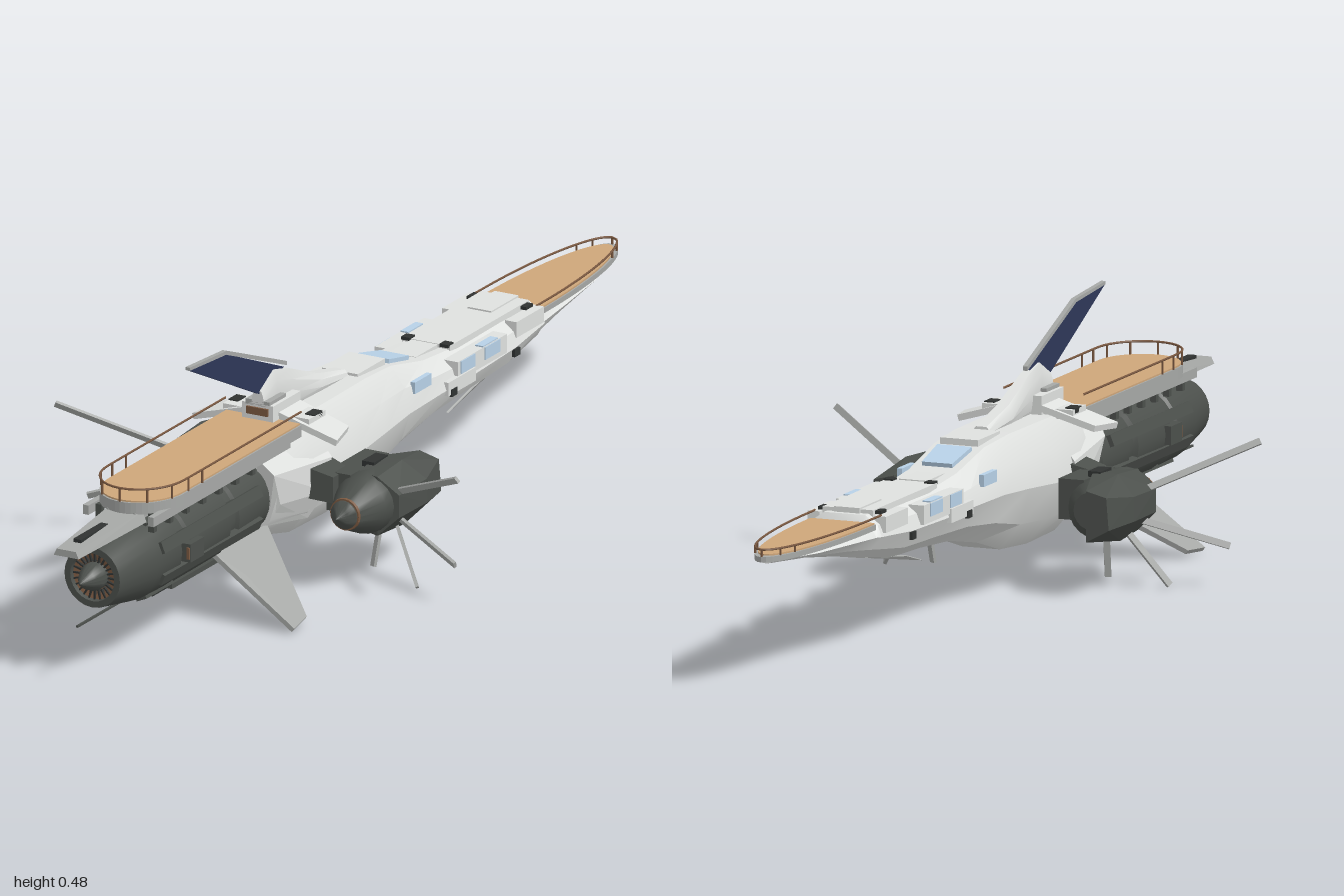
import * as THREE from 'three';
import { toCreasedNormals } from 'three/addons/utils/BufferGeometryUtils.js';
import { ConvexGeometry } from 'three/addons/geometries/ConvexGeometry.js';

const mat = (name, color) => new THREE.MeshStandardMaterial({ name, color });
const hullGrey = mat('hull grey', 0xdfe1df), panelGrey = mat('panel grey', 0xa6a8a6);
const darkGrey = mat('engine grey', 0x4c504c), blackGrey = mat('recess grey', 0x303332);
const wood = mat('deck tan', 0xcea67a), copper = mat('copper', 0x7c5a42);
const navy = mat('navy', 0x2e3758), glass = mat('window blue', 0xb8d2e8);

export function createModel() {
  const root = new THREE.Group();
  const V = (x, y, z) => new THREE.Vector3(x, y, z);
  const add = (name, geo, material, parent = root) => {
    const m = new THREE.Mesh(geo, material);
    m.name = name;
    parent.add(m);
    return m;
  };
  const box = (name, material, x, y, z, w, h, d, parent) => {
    const m = add(name, new THREE.BoxGeometry(w, h, d), material, parent);
    m.position.set(x, y, z);
    return m;
  };
  // convex solid from corner points
  const solid = (name, material, pts, s = 1) =>
    add(name, new ConvexGeometry(pts.map(([x, y, z]) => V(x * s, y, z))), material);
  // flat plate of a given thickness through planar points
  const plate = (name, material, pts, t, s = 1) => {
    const p = pts.map(([x, y, z]) => V(x * s, y, z));
    const n = p[1].clone().sub(p[0]).cross(p[2].clone().sub(p[0])).setLength(t / 2);
    return add(name, new ConvexGeometry(p.flatMap(q => [q.clone().add(n), q.clone().sub(n)])), material);
  };
  // profile of [radius, z] turned around the z axis
  const turned = (name, material, profile, x, y, segs = 20) => {
    const g = new THREE.LatheGeometry(profile.map(([r, z]) => new THREE.Vector2(r, z)), segs);
    const m = add(name, toCreasedNormals(g.rotateX(Math.PI / 2), 0.5), material);
    m.position.set(x, y, 0);
    return m;
  };
  // closed body from cross-sections [z, half width, top, middle, bottom]
  const loft = (name, material, sections) => {
    const pos = [], idx = [];
    for (const [z, w, t, m, b] of sections) {
      const half = [[0.38, b], [0.8, b + (m - b) * 0.42], [1, m], [0.88, m + (t - m) * 0.55], [0.55, t]];
      half.forEach(([k, y]) => pos.push(k * w, y, z));
      half.reverse().forEach(([k, y]) => pos.push(-k * w, y, z));
    }
    const n = 10, last = (sections.length - 1) * n;
    for (let i = 0; i < last; i += n) for (let j = 0; j < n; j++) {
      const a = i + j, c = i + (j + 1) % n;
      idx.push(a, c, a + n, c, c + n, a + n);
    }
    for (let j = 1; j < n - 1; j++) idx.push(0, j + 1, j, last, last + j, last + j + 1);
    const g = new THREE.BufferGeometry();
    g.setAttribute('position', new THREE.Float32BufferAttribute(pos, 3));
    g.setIndex(idx);
    return add(name, toCreasedNormals(g, 0.45), material);
  };

  // main hull
  loft('hull', hullGrey, [
    [-0.98, 0.012, 0.238, 0.235, 0.231], [-0.85, 0.05, 0.238, 0.231, 0.22],
    [-0.72, 0.062, 0.24, 0.226, 0.2], [-0.63, 0.068, 0.244, 0.222, 0.182],
    [-0.62, 0.074, 0.26, 0.222, 0.18], [-0.5, 0.082, 0.26, 0.213, 0.158],
    [-0.35, 0.085, 0.257, 0.21, 0.152], [-0.22, 0.086, 0.268, 0.21, 0.142],
    [-0.1, 0.09, 0.295, 0.21, 0.118], [0, 0.097, 0.302, 0.205, 0.088],
    [0.12, 0.1, 0.302, 0.195, 0.078], [0.25, 0.096, 0.3, 0.19, 0.08], [0.36, 0.075, 0.28, 0.188, 0.105]]);

  // raised dorsal panels and canopy
  box('dorsalPanel', hullGrey, 0, 0.258, -0.46, 0.1, 0.018, 0.29);
  box('dorsalRidge', hullGrey, 0, 0.262, -0.56, 0.05, 0.016, 0.1);
  box('dorsalHatch', hullGrey, 0, 0.262, -0.27, 0.055, 0.012, 0.08);
  plate('canopy', glass, [[-0.03, 0.2765, -0.2], [0.03, 0.2765, -0.2], [0.034, 0.2945, -0.12], [-0.034, 0.2945, -0.12]], 0.008);
  box('canopyRoof', hullGrey, 0, 0.298, -0.05, 0.075, 0.018, 0.1);
  loft('dorsalSpine', hullGrey, [
    [0.0, 0.018, 0.312, 0.3, 0.29], [0.1, 0.02, 0.335, 0.31, 0.29],
    [0.2, 0.016, 0.375, 0.33, 0.29], [0.25, 0.013, 0.387, 0.345, 0.3], [0.3, 0.013, 0.36, 0.335, 0.3]]);

  // tail fin with a thin light edge in two straight runs
  plate('tailFin', navy, [[0, 0.478, 0.555], [0, 0.468, 0.42], [0, 0.38, 0.21], [0, 0.355, 0.3]], 0.007);
  plate('finTopEdge', panelGrey, [[0, 0.484, 0.556], [0, 0.475, 0.42], [0, 0.468, 0.42], [0, 0.478, 0.556]], 0.009);
  plate('finFrontEdge', panelGrey, [[0, 0.475, 0.42], [0, 0.388, 0.2], [0, 0.38, 0.2], [0, 0.467, 0.42]], 0.009);

  // decks: tan floor, grey rim, rail and posts
  const deck = (name, z0, zs, zEnd, a, y, thick, railY, postStart) => {
    const g = new THREE.Group();
    g.name = name;
    root.add(g);
    const outline = k => {
      const pts = [[a * k, z0]];
      for (let i = 0; i <= 24; i++) {
        const t = Math.PI * i / 24;
        pts.push([a * k * Math.cos(t), zs + (zEnd - zs) * k * Math.sin(t)]);
      }
      pts.push([-a * k, z0]);
      return pts;
    };
    const slab = (part, material, k, top, depth) => {
      const shape = new THREE.Shape(outline(k).map(([x, z]) => new THREE.Vector2(x, z)));
      const geo = new THREE.ExtrudeGeometry(shape, { depth, bevelEnabled: false }).rotateX(Math.PI / 2);
      add(part, geo, material, g).position.y = top;
    };
    slab('deckRim', panelGrey, 1, y, thick);
    slab('deckFloor', wood, 0.96, y + 0.003, 0.004);
    const pts = outline(0.99).map(([x, z]) => V(x, railY, z));
    const curve = new THREE.CatmullRomCurve3(pts, false, 'centripetal');
    add('rail', new THREE.TubeGeometry(curve, 70, 0.0022, 5), copper, g);
    for (let i = 0; i <= 22; i++) {
      const p = curve.getPointAt(i / 22);
      if (Math.abs(p.z) > postStart) box('railPost', copper, p.x, (railY + y) / 2, p.z, 0.003, railY - y, 0.003, g);
    }
  };
  deck('foreDeck', 0.28, 0.71, 0.805, 0.08, 0.302, 0.022, 0.328, 0.6);
  deck('aftDeck', -0.63, -0.63, -1, 0.066, 0.246, 0.01, 0.259, 0.9);

  // deck support beams, boom and bridge block
  solid('boom', panelGrey, [[-0.026, 0.255, 1], [0.026, 0.255, 1], [-0.02, 0.268, 1], [0.02, 0.268, 1],
    [-0.042, 0.262, 0.78], [0.042, 0.262, 0.78], [-0.034, 0.282, 0.78], [0.034, 0.282, 0.78]]);
  box('boomSlot', blackGrey, 0, 0.271, 0.9, 0.016, 0.012, 0.12);
  box('deckKeel', panelGrey, 0, 0.268, 0.56, 0.06, 0.03, 0.48);
  box('bridgeBlock', hullGrey, 0, 0.313, 0.25, 0.065, 0.045, 0.1);
  box('bridgeFace', panelGrey, 0, 0.337, 0.27, 0.05, 0.01, 0.06);
  box('bridgeRecess', copper, 0, 0.322, 0.302, 0.045, 0.014, 0.004);

  // main engine
  const ey = 0.187;
  turned('mainEngine', darkGrey, [[0, 0.34], [0.045, 0.34], [0.055, 0.37], [0.074, 0.385], [0.077, 0.5], [0.071, 0.505],
    [0.071, 0.53], [0.079, 0.535], [0.08, 0.68], [0.074, 0.685], [0.074, 0.71], [0.079, 0.715], [0.077, 0.8],
    [0.058, 0.905], [0.046, 0.905], [0.044, 0.88], [0, 0.88]], 0, ey, 24);
  turned('engineRing', copper, [[0.046, 0.884], [0.045, 0.895], [0.026, 0.89], [0.024, 0.884]], 0, ey, 24);
  turned('engineHub', darkGrey, [[0.026, 0.88], [0.026, 0.905], [0.018, 0.925], [0.006, 0.945], [0, 0.95]], 0, ey);
  for (let i = 0; i < 24; i++) {
    const a = i * Math.PI / 12;
    box('engineVane', blackGrey, 0.036 * Math.cos(a), ey + 0.036 * Math.sin(a), 0.893, 0.018, 0.003, 0.008).rotation.z = a;
  }
  for (let i = 0; i < 8; i++) {
    const a = (i + 0.5) * Math.PI / 4, r = 0.076;
    box('engineRib', darkGrey, r * Math.cos(a), ey + r * Math.sin(a), 0.6, 0.014, 0.022, 0.36).rotation.z = a;
  }
  box('engineBelly', darkGrey, 0, 0.113, 0.52, 0.065, 0.03, 0.3);
  box('bellyDuct', blackGrey, 0, 0.105, 0.66, 0.03, 0.024, 0.1);
  box('bellyProbe', darkGrey, 0, 0.109, 0.86, 0.004, 0.004, 0.2);

  // paired parts
  for (const s of [1, -1]) {
    const b = (name, m, x, y, z, w, h, d) => box(name, m, x * s, y, z, w, h, d);
    b('engineLug', darkGrey, 0.08, ey, 0.68, 0.022, 0.035, 0.05);
    b('lugCap', copper, 0.087, ey, 0.706, 0.006, 0.022, 0.004);
    b('deckGirder', panelGrey, 0.068, 0.276, 0.56, 0.012, 0.018, 0.5);
    for (let z = 0.36; z < 0.8; z += 0.06) b('deckStrut', darkGrey, 0.055, 0.264, z, 0.012, 0.035, 0.012);
    solid('engineShoulder', hullGrey, [[0.05, 0.28, 0.2], [0.098, 0.22, 0.2], [0.098, 0.16, 0.22], [0.07, 0.11, 0.24],
      [0.05, 0.275, 0.4], [0.08, 0.235, 0.38], [0.076, 0.17, 0.35], [0.05, 0.125, 0.35]], s);
    // bridge winglets
    plate('bridgeWinglet', hullGrey, [[0.03, 0.313, 0.2], [0.03, 0.313, 0.28], [0.15, 0.278, 0.275], [0.135, 0.282, 0.205]], 0.012, s);
    b('bridgeArm', hullGrey, 0.06, 0.303, 0.24, 0.06, 0.018, 0.06);
    b('armRecess', blackGrey, 0.08, 0.309, 0.235, 0.02, 0.01, 0.03);
    // ventral fins
    plate('ventralFin', panelGrey, [[0.045, 0.125, 0.35], [0.2, 0.012, 0.475], [0.208, 0.008, 0.535], [0.1, 0.087, 0.52], [0.045, 0.125, 0.54]], 0.009, s);
    // hull side panels, windows and vents
    b('sideBlister', hullGrey, 0.066, 0.243, -0.56, 0.024, 0.03, 0.1);
    b('sideBlister', hullGrey, 0.072, 0.235, -0.37, 0.03, 0.036, 0.18);
    b('sideFairing', hullGrey, 0.082, 0.213, -0.29, 0.016, 0.026, 0.1);
    b('sideWindow', glass, 0.087, 0.24, -0.405, 0.004, 0.024, 0.055);
    b('sideWindow', glass, 0.087, 0.24, -0.315, 0.004, 0.024, 0.05);
    b('topWindow', glass, 0.078, 0.2535, -0.4, 0.016, 0.004, 0.055);
    b('cabinWindow', glass, 0.081, 0.25, -0.155, 0.01, 0.022, 0.06);
    b('sideVent', blackGrey, 0.089, 0.203, -0.26, 0.006, 0.014, 0.02);
    b('sideVent', blackGrey, 0.083, 0.205, -0.5, 0.006, 0.014, 0.02);
    b('dorsalVent', blackGrey, 0.04, 0.267, -0.32, 0.018, 0.006, 0.02);
    b('dorsalVent', blackGrey, 0.055, 0.262, -0.585, 0.014, 0.006, 0.025);
    plate('noseStrake', panelGrey, [[0.03, 0.128, -0.34], [0.034, 0.15, -0.42], [0.03, 0.178, -0.6]], 0.004, s);

    // side pod with outer shell
    const px = 0.183, py = 0.155;
    turned('sidePod', darkGrey, [[0, 0.08], [0.035, 0.08], [0.054, 0.1], [0.058, 0.22], [0.054, 0.245], [0.03, 0.3], [0, 0.3]], px * s, py, 20);
    turned('podRing', copper, [[0.031, 0.298], [0.03, 0.303], [0.026, 0.303]], px * s, py);
    turned('podCone', darkGrey, [[0.027, 0.296], [0.027, 0.306], [0.016, 0.318], [0.004, 0.328], [0, 0.335]], px * s, py);
    solid('podShell', darkGrey, [[0.19, 0.2, 0.04], [0.23, 0.19, 0.04], [0.235, 0.13, 0.04], [0.19, 0.105, 0.04],
      [0.16, 0.215, 0.14], [0.21, 0.216, 0.14], [0.25, 0.18, 0.12], [0.252, 0.135, 0.12], [0.215, 0.093, 0.14], [0.16, 0.095, 0.14],
      [0.165, 0.21, 0.22], [0.21, 0.21, 0.23], [0.25, 0.178, 0.22], [0.25, 0.135, 0.22], [0.21, 0.097, 0.23], [0.165, 0.1, 0.22]], s);
    b('podInnerBlock', darkGrey, 0.135, 0.17, 0.17, 0.05, 0.075, 0.14);
    b('podTopVent', blackGrey, 0.165, 0.212, 0.16, 0.025, 0.012, 0.05);
    // pylon from hull to pod
    solid('pylon', darkGrey, [[0.08, 0.22, 0.19], [0.08, 0.22, 0.27], [0.135, 0.205, 0.2], [0.135, 0.205, 0.26],
      [0.08, 0.16, 0.19], [0.08, 0.16, 0.27], [0.135, 0.155, 0.2], [0.135, 0.155, 0.26]], s);
    // pod blades
    const blades = [[[0.235, 0.178, 0.2], [0.42, 0.264, 0.305]], [[0.23, 0.125, 0.19], [0.384, 0.077, 0.25]],
      [[0.215, 0.105, 0.17], [0.282, 0.004, 0.21]], [[0.178, 0.105, 0.16], [0.173, 0.017, 0.18]]];
    for (const [p, q] of blades) {
      const a = V(...p), e = V(...q), d = e.clone().sub(a);
      const m = add('podBlade', new THREE.BoxGeometry(0.012, d.length(), 0.006), panelGrey);
      a.x *= s; e.x *= s; d.x *= s;
      m.position.copy(a).add(e).multiplyScalar(0.5);
      m.quaternion.setFromUnitVectors(V(0, 1, 0), d.normalize());
    }
  }
  return root;
}
